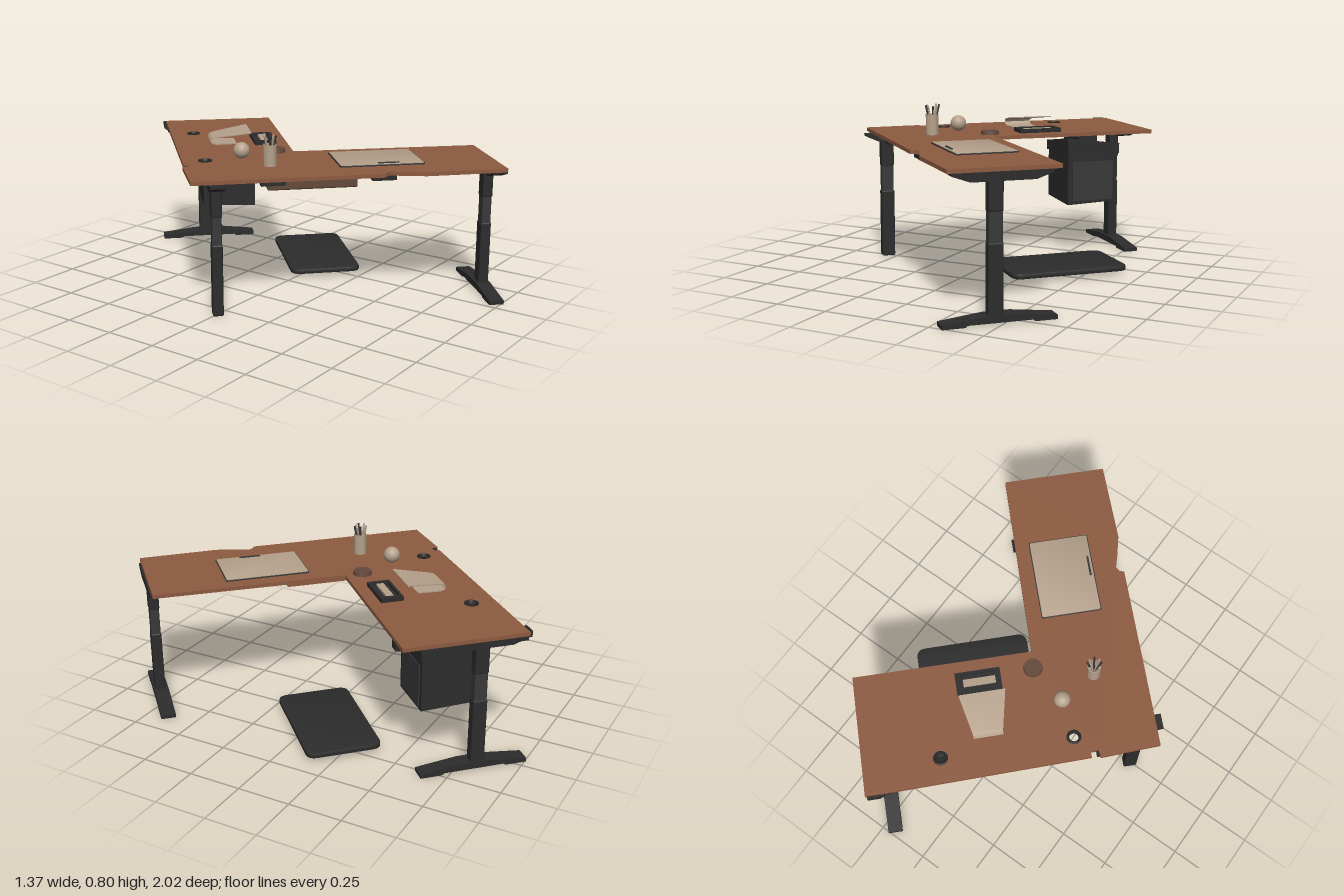
import * as THREE from 'three';
import { toCreasedNormals } from 'three/addons/utils/BufferGeometryUtils.js';
import { RoundedBoxGeometry } from 'three/addons/geometries/RoundedBoxGeometry.js';

const mat = (name, color, side = THREE.FrontSide) => {
  const m = new THREE.MeshStandardMaterial({ color, side });
  m.name = name;
  return m;
};

export function createModel() {
  const wood = mat('wood', 0x8e5b41);
  const black = mat('black', 0x2c2c2d);
  const beige = mat('beige', 0xb5a18b, THREE.DoubleSide);
  const umber = mat('dark brown', 0x64493a);
  const graphite = mat('graphite', 0x39393a);
  const root = new THREE.Group();

  // Local x runs along the front arm with U, and along the rear arm with V
  const U = -Math.PI / 4, V = Math.PI / 4, TOP = 0.648;
  const add = (name, geo, material, x, y, z, yaw = 0) => {
    const m = new THREE.Mesh(geo, material);
    m.name = name;
    m.position.set(x, y, z);
    m.rotation.y = yaw;
    root.add(m);
    return m;
  };
  const box = (w, h, d) => new THREE.BoxGeometry(w, h, d);
  const cyl = (r1, r2, h, n = 32) => new THREE.CylinderGeometry(r1, r2, h, n);

  // Side profile extruded to a centred width
  const slab = (pts, width) => {
    const s = new THREE.Shape(pts.map(p => new THREE.Vector2(...p)));
    const g = new THREE.ExtrudeGeometry(s, { depth: width, bevelEnabled: false });
    return g.translate(0, 0, -width / 2);
  };

  // Rounded rectangular plate lying flat, with a soft bevelled rim
  const plate = (w, d, h, r, b) => {
    const s = new THREE.Shape(), x = w / 2 - b, y = d / 2 - b;
    s.moveTo(-x + r, -y);
    s.lineTo(x - r, -y); s.quadraticCurveTo(x, -y, x, -y + r);
    s.lineTo(x, y - r); s.quadraticCurveTo(x, y, x - r, y);
    s.lineTo(-x + r, y); s.quadraticCurveTo(-x, y, -x, y - r);
    s.lineTo(-x, -y + r); s.quadraticCurveTo(-x, -y, -x + r, -y);
    const g = new THREE.ExtrudeGeometry(s, {
      depth: h - 2 * b, bevelThickness: b, bevelSize: b, bevelSegments: 2, curveSegments: 6,
    });
    return toCreasedNormals(g.translate(0, 0, b).rotateX(-Math.PI / 2), 0.6);
  };

  // L-shaped desktop with edge notches and two cable holes
  const grommets = [[-0.35, -0.228], [0.08, -0.66]];
  const outline = [
    [-0.69, -0.03], [-0.07, 0.587], [-0.05, 0.578], [-0.026, 0.582], [0.0, 0.63], [0.058, 0.725],
    [0.333, 0.99], [0.68, 0.645], [0.05, -0.005], [0.645, -0.593], [0.245, -0.997],
    [-0.47, -0.258], [-0.452, -0.24], [-0.477, -0.214], [-0.503, -0.235],
  ];
  const top = new THREE.Shape(outline.map(([x, z]) => new THREE.Vector2(x, -z)));
  for (const [x, z] of grommets) {
    top.holes.push(new THREE.Path().absarc(x, -z, 0.027, 0, Math.PI * 2, true));
  }
  const topGeo = new THREE.ExtrudeGeometry(top, { depth: 0.018, bevelEnabled: false });
  add('desktop', topGeo.rotateX(-Math.PI / 2), wood, 0, 0.63, 0);

  // Cable hole rims
  const rim = [[0.022, -0.02], [0.028, -0.02], [0.028, 0], [0.034, 0], [0.033, 0.004], [0.022, 0.004], [0.022, -0.02]];
  for (const [x, z] of grommets) {
    add('cableGrommet', new THREE.LatheGeometry(rim.map(p => new THREE.Vector2(...p)), 28), black, x, TOP, z);
  }
  add('cableClip', box(0.05, 0.02, 0.018), black, -0.475, 0.636, -0.215, U);

  // Telescoping legs with tapered feet and top braces
  const foot = [[-0.25, 0], [-0.15, 0], [-0.14, 0.008], [0.14, 0.008], [0.15, 0], [0.25, 0],
    [0.25, 0.018], [0.06, 0.04], [-0.06, 0.04], [-0.25, 0.018]];
  const legs = [
    { x: -0.555, z: 0, yaw: V, base: 0, brace: [-0.51, -0.045, 0.34] },
    { x: 0.46, z: 0.825, yaw: V, base: 0.03, brace: [0.48, 0.805, 0.43] },
    { x: 0.35, z: -0.82, yaw: U, base: 0.03, brace: [0.355, -0.815, 0.43] },
  ];
  for (const { x, z, yaw, base, brace } of legs) {
    add('lowerLeg', new RoundedBoxGeometry(0.066, 0.34 - base, 0.05, 2, 0.008), black, x, (0.34 + base) / 2, z, yaw);
    add('middleLeg', new RoundedBoxGeometry(0.06, 0.16, 0.045, 2, 0.007), graphite, x, 0.4, z, yaw);
    add('upperLeg', new RoundedBoxGeometry(0.065, 0.15, 0.05, 2, 0.008), black, x, 0.54, z, yaw);
    if (base) add('foot', slab(foot, 0.07), black, x + 0.01, 0, z - (z > 0 ? 0.015 : -0.015), yaw);
    const [bx, bz, len] = brace, h = len / 2;
    add('brace', slab([[-h, 0.63], [-h, 0.618], [-h * 0.65, 0.592], [h * 0.65, 0.592], [h, 0.618], [h, 0.63]], 0.07),
      black, bx, 0, bz, yaw);
  }

  // Small clamps beneath the outer edges
  for (const [x, z, yaw] of [[-0.03, 0.55, U], [0.22, -0.935, V], [-0.4, 0.2, U], [0.09, -0.79, V]]) {
    add('underClamp', box(0.11, 0.022, 0.045), black, x, 0.619, z, yaw);
  }
  add('edgeHook', box(0.06, 0.028, 0.012), black, 0.212, 0.635, -0.975, V);

  // Drawer under the front arm
  add('drawerBody', new RoundedBoxGeometry(0.42, 0.08, 0.18, 2, 0.008), umber, -0.11, 0.589, 0.2, U);
  add('drawerFront', box(0.42, 0.076, 0.009), wood, -0.043, 0.59, 0.133, U);

  // Hanging cabinet whose top slopes with position
  const cabinet = (size, bottom, height) => {
    const g = new THREE.BoxGeometry(size, 1, size, 1, 1, 1), p = g.attributes.position;
    for (let i = 0; i < p.count; i++) {
      const x = p.getX(i), z = p.getZ(i), slope = 0.15 * x + 0.13 * z;
      p.setY(i, p.getY(i) > 0 ? height + slope : bottom < 0.4 ? bottom - 0.04 * (x + z) : bottom + slope);
    }
    g.computeVertexNormals();
    return g;
  };
  add('cabinetBody', cabinet(0.27, 0.27, 0.52), black, 0.27, 0, -0.6, U);
  add('cabinetLid', cabinet(0.285, 0.515, 0.565), black, 0.27, 0, -0.6, U);
  add('cabinetHanger', box(0.2, 0.07, 0.1), black, 0.26, 0.592, -0.59, U);
  add('cabinetPanel', box(0.006, 0.2, 0.22), graphite, 0.27 + 0.0965, 0.38, -0.6 + 0.0965, U);

  // Foot rest
  add('footRest', plate(0.58, 0.35, 0.026, 0.04, 0.007), black, 0.36, 0.02, -0.08, V);

  // Writing pad with pen
  add('padBase', plate(0.4, 0.286, 0.006, 0.008, 0.001), graphite, 0.147, TOP, 0.4, U);
  add('padSheet', plate(0.392, 0.278, 0.005, 0.008, 0.001), beige, 0.147, TOP + 0.004, 0.4, U);
  add('padPen', box(0.1, 0.005, 0.009), graphite, 0.082, TOP + 0.011, 0.51, U);

  // Desk tray holding a beige bar
  add('trayFloor', box(0.21, 0.006, 0.105), black, 0.158, TOP + 0.003, -0.27, V);
  const tray = new THREE.Group();
  tray.name = 'trayRim';
  for (const s of [-1, 1]) {
    const long = new THREE.Mesh(box(0.21, 0.02, 0.012), black), end = new THREE.Mesh(box(0.025, 0.02, 0.1), black);
    long.name = 'traySide';
    end.name = 'trayEnd';
    long.position.z = s * 0.047;
    end.position.x = s * 0.0925;
    tray.add(long, end);
  }
  tray.position.set(0.158, TOP + 0.01, -0.27);
  tray.rotation.y = V;
  root.add(tray);
  add('trayBar', box(0.15, 0.014, 0.034), beige, 0.155, TOP + 0.01, -0.267, V);

  // Folded stand: a strip widening toward the raised edge
  const strip = [[0.13, 0.004, 0.06], [0.03, 0.004, 0.066], [0.008, 0.01, 0.068], [0, 0.022, 0.068],
    [0.008, 0.034, 0.068], [0.03, 0.04, 0.072], [0.2, 0.064, 0.108]];
  const pos = [], idx = [];
  for (const t of [0, -0.005]) strip.forEach(([x, y, w]) => pos.push(x, y + t, -w, x, y + t, w));
  for (const k of [0, 14]) {
    for (let i = 0; i < 6; i++) {
      const a = k + i * 2;
      idx.push(a, a + 1, a + 2, a + 1, a + 3, a + 2);
    }
  }
  for (const s of [0, 1]) {
    for (let i = 0; i < 6; i++) {
      const a = i * 2 + s;
      idx.push(a, a + 2, a + 14, a + 2, a + 16, a + 14);
    }
  }
  idx.push(12, 13, 26, 13, 27, 26);
  const standGeo = new THREE.BufferGeometry();
  standGeo.setAttribute('position', new THREE.Float32BufferAttribute(pos, 3));
  standGeo.setIndex(idx);
  add('foldedStand', toCreasedNormals(standGeo, 0.7), beige, -0.04, TOP + 0.003, -0.457, U);

  // Globe, round puck and pen cup
  add('globe', new THREE.SphereGeometry(0.039, 32, 20), beige, -0.208, TOP + 0.038, -0.122);
  add('puck', cyl(0.042, 0.045, 0.018), umber, -0.005, TOP + 0.009, -0.068);
  const cup = [[0, 0], [0.031, 0], [0.031, 0.1], [0.028, 0.1], [0.028, 0.006], [0, 0.006]];
  add('penCup', toCreasedNormals(new THREE.LatheGeometry(cup.map(p => new THREE.Vector2(...p)), 28), 0.6),
    beige, -0.248, TOP, 0.073);
  for (let i = 0; i < 7; i++) {
    const a = i * 2.4, r = 0.014 + 0.003 * (i % 3);
    const pen = add('pen', cyl(0.005, 0.004, 0.13, 8), i % 2 ? graphite : beige,
      -0.248 + r * Math.cos(a), TOP + 0.076 + 0.004 * (i % 3), 0.073 + r * Math.sin(a));
    pen.rotation.set(0.22 * Math.sin(a), 0, -0.22 * Math.cos(a));
  }
  return root;
}
